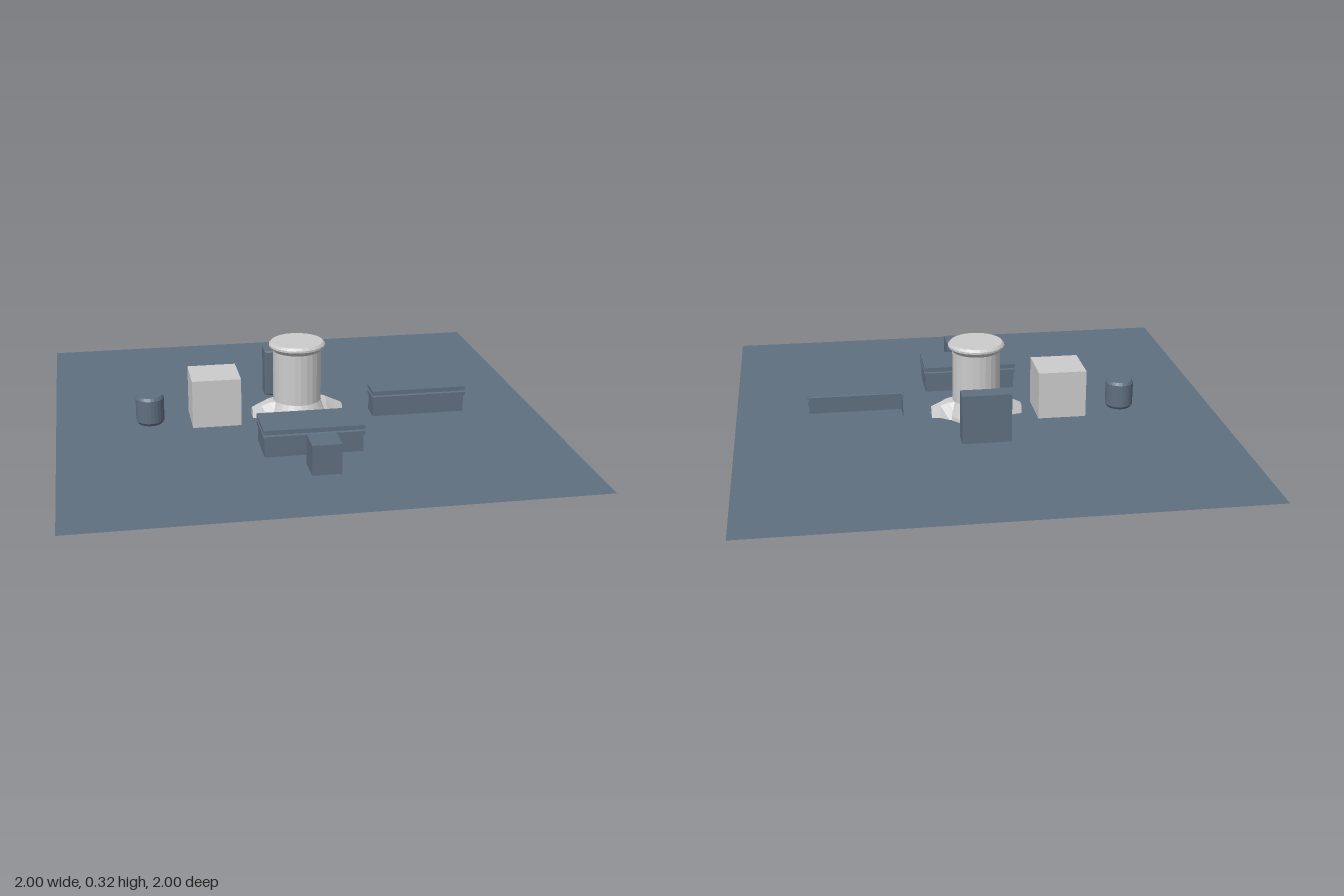
import * as THREE from 'three';

const grey = new THREE.MeshStandardMaterial({ color: 0xcccccc, flatShading: true, side: THREE.DoubleSide });
const blue = new THREE.MeshStandardMaterial({ color: 0x5f6f80, flatShading: true, side: THREE.DoubleSide });

// Joins rings of corner points (equal length) with quads; caps are fans.
function loft(rings, capStart = true, capEnd = true, skipSide = -1) {
  const n = rings[0].length;
  const index = [];
  for (let r = 0; r < rings.length - 1; r++) {
    for (let i = 0; i < n; i++) {
      if (i === skipSide) continue;
      const j = (i + 1) % n, a = r * n, b = a + n;
      index.push(a + i, a + j, b + j, a + i, b + j, b + i);
    }
  }
  const last = (rings.length - 1) * n;
  for (let i = 1; i < n - 1; i++) {
    if (capStart) index.push(0, i + 1, i);
    if (capEnd) index.push(last, last + i, last + i + 1);
  }
  const indexed = new THREE.BufferGeometry();
  indexed.setAttribute('position', new THREE.Float32BufferAttribute(rings.flat(2), 3));
  indexed.setIndex(index);
  const geometry = indexed.toNonIndexed();
  geometry.computeVertexNormals();
  return geometry;
}

function lathe(points, sides) {
  return new THREE.LatheGeometry(points.map(([r, y]) => new THREE.Vector2(r, y)), sides);
}

// Counter with a grooved double lip; an open back stays flush.
function counter(x0, x1, z0, z1, openBack) {
  const profile = [[0.01, 0], [0.01, 0.07], [0, 0.073], [0, 0.088], [0.01, 0.091],
    [0.01, 0.096], [0, 0.099], [0, 0.113]];
  const rings = profile.map(([inset, y]) => {
    const back = openBack ? z0 : z0 + inset;
    const front = z1 - inset, left = x0 + inset / 2, right = x1 - inset / 2;
    return [[left, y, front], [right, y, front], [right, y, back], [left, y, back]];
  });
  return loft(rings, !openBack, true, openBack ? 2 : -1);
}

export function createModel() {
  const model = new THREE.Group();
  const add = (name, geometry, material, x = 0, y = 0, z = 0) => {
    const mesh = new THREE.Mesh(geometry, material);
    mesh.name = name;
    mesh.position.set(x, y, z);
    model.add(mesh);
    return mesh;
  };

  // Ground sheet
  add('ground', new THREE.PlaneGeometry(2, 2).rotateX(-Math.PI / 2), blue);

  // Plain boxes
  add('largeCrate', new THREE.BoxGeometry(0.2, 0.2, 0.2), grey, -0.348, 0.102, 0);
  add('smallCrate', new THREE.BoxGeometry(0.115, 0.12, 0.12), blue, 0, 0.062, 0.6);

  // Upright cabinet with a bevelled front
  const cabinetRing = (inset, z) => [
    [-0.1 + inset, inset, z], [0.1 - inset, inset, z],
    [0.1 - inset, 0.203 - inset, z], [-0.1 + inset, 0.203 - inset, z],
  ];
  add('cabinet', loft([cabinetRing(0, -0.314), cabinetRing(0, -0.243), cabinetRing(0.006, -0.235)]), blue);

  // Barrel
  add('barrel', lathe([[0, 0.002], [0.05, 0.002], [0.058, 0.014], [0.058, 0.11], [0.051, 0.122], [0, 0.122]], 24),
    blue, -0.615, 0, 0);

  // Counters
  add('wideCounter', counter(-0.21, 0.19, 0.265, 0.462, false), blue);
  add('narrowCounter', counter(0.303, 0.702, 0, 0.1, true), blue);

  // Column with flared foot and rim
  add('column', lathe([[0, 0], [0.128, 0], [0.126, 0.015], [0.112, 0.045], [0.1, 0.07], [0.1, 0.285],
    [0.117, 0.303], [0.117, 0.311], [0.108, 0.321], [0, 0.321]], 24), grey);

  // Tapered feet on both sides of the column
  const footRing = (x, bottom, top, height) => [
    [x, 0.001, bottom], [x, 0.001, -bottom], [x, height, -top], [x, height, top],
  ];
  const foot = loft([footRing(0.08, 0.08, 0.035, 0.07), footRing(0.12, 0.062, 0.026, 0.065),
    footRing(0.155, 0.036, 0.02, 0.05), footRing(0.19, 0.028, 0.017, 0.035)]);
  add('leftFoot', foot, grey);
  add('rightFoot', foot, grey).rotation.y = Math.PI;

  return model;
}
